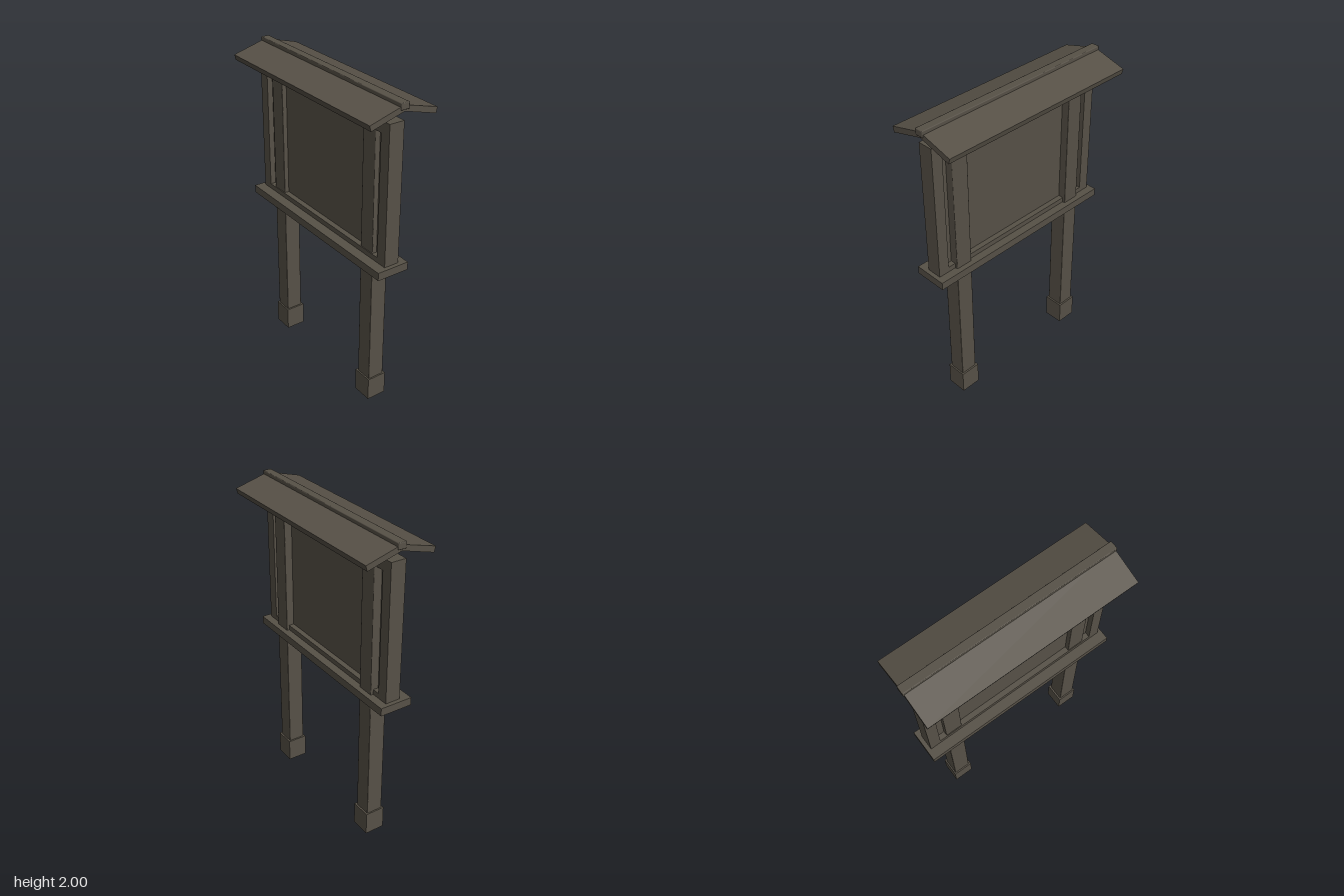
import * as THREE from 'three';
import { RoundedBoxGeometry } from 'three/addons/geometries/RoundedBoxGeometry.js';

export function createModel() {
  const model = new THREE.Group();
  model.name = 'noticeBoard';
  const wood = new THREE.MeshStandardMaterial({ color: 0x575147 });
  wood.name = 'weathered wood';

  // Box given by its limits on each axis, with an optional small bevel
  function box(name, [x0, x1], [y0, y1], [z0, z1], bevel = 0) {
    const size = [x1 - x0, y1 - y0, z1 - z0];
    const geometry = bevel
      ? new RoundedBoxGeometry(...size, 1, bevel)
      : new THREE.BoxGeometry(...size);
    const mesh = new THREE.Mesh(geometry, wood);
    mesh.name = name;
    mesh.position.set((x0 + x1) / 2, (y0 + y1) / 2, (z0 + z1) / 2);
    model.add(mesh);
  }

  // Posts, feet and the upright sides of the frame
  for (const s of [1, -1]) {
    const side = s > 0 ? 'front' : 'back';
    const span = (a, b) => (s > 0 ? [a, b] : [-b, -a]);
    box(side + 'Post', [-0.057, 0.051], [0.02, 1.872], span(0.401, 0.511), 0.005);
    box(side + 'Foot', [-0.066, 0.062], [0, 0.15], span(0.39, 0.52));
    box(side + 'Stile', [-0.062, 0.034], [1.02, 1.88], span(0.56, 0.63));
  }

  // Frame rails, recessed board and shelf
  box('topRail', [-0.062, 0.034], [1.81, 1.88], [-0.56, 0.56]);
  box('bottomRail', [-0.062, 0.034], [1.02, 1.052], [-0.56, 0.56]);
  box('boardPanel', [-0.027, 0], [1.052, 1.81], [-0.56, 0.56]);
  box('shelf', [-0.126, 0.084], [0.97, 1.02], [-0.656, 0.656]);

  // Two sloping roof boards
  for (const s of [1, -1]) {
    const profile = new THREE.Shape([
      [0, 1.95], [0.213, 1.89], [0.222, 1.924], [0, 1.985],
    ].map(([x, y]) => new THREE.Vector2(s * x, y)));
    const geometry = new THREE.ExtrudeGeometry(profile, { depth: 1.336, bevelEnabled: false });
    const slope = new THREE.Mesh(geometry, wood);
    slope.name = s > 0 ? 'leftRoofBoard' : 'rightRoofBoard';
    slope.position.z = -0.668;
    model.add(slope);
  }

  // Ridge cap
  box('ridgeCap', [-0.027, 0.027], [1.96, 2], [-0.675, 0.675], 0.005);
  return model;
}
